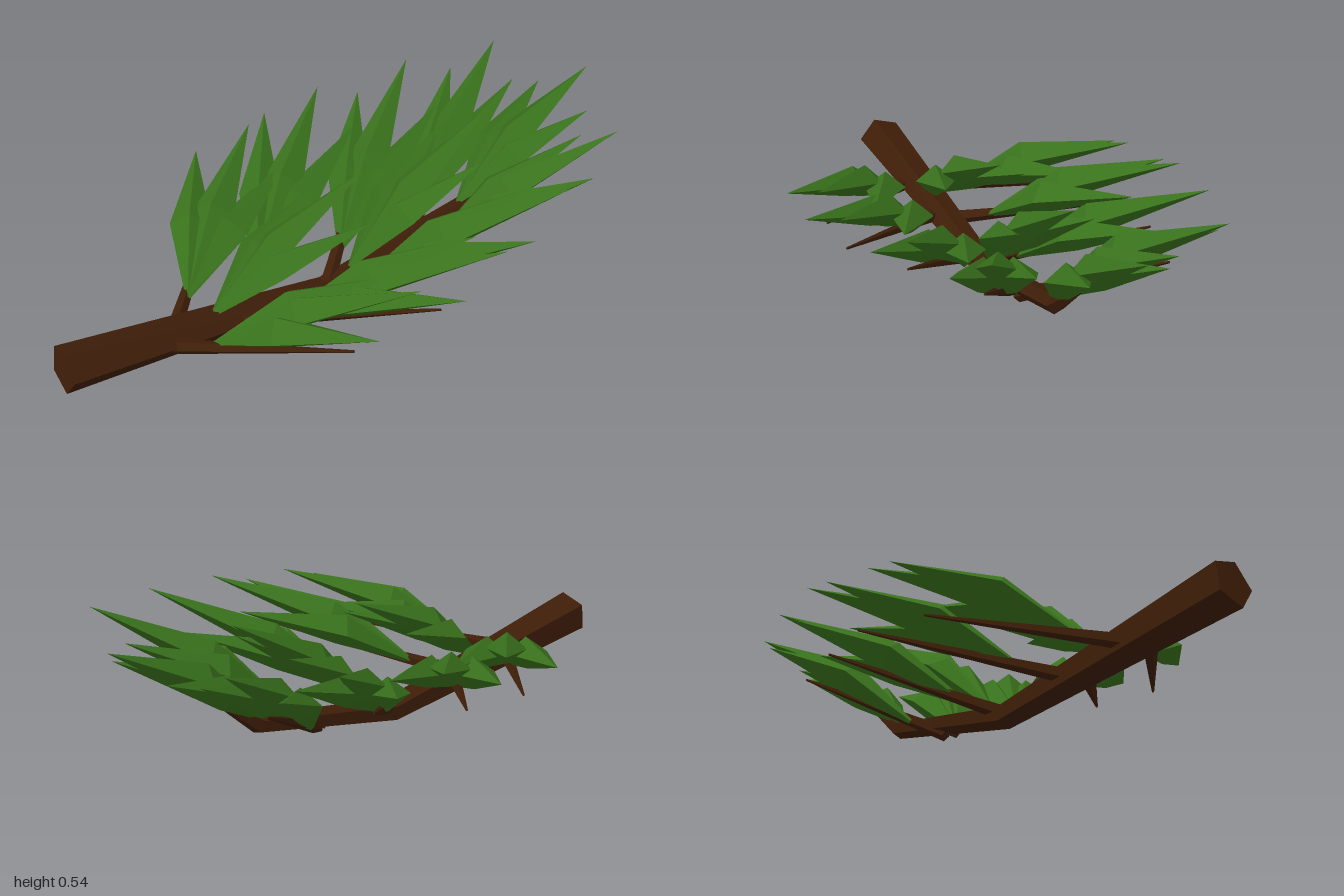
import * as THREE from 'three';

const V = (x, y, z) => new THREE.Vector3(x, y, z);

// Faceted solid through cross-sections [centre, halfWidth, halfHeight]
function loft(sections, sides) {
  const n = sections.length;
  const rings = sections.map(([c, rx, ry], i) => {
    const a = sections[Math.max(i - 1, 0)][0], b = sections[Math.min(i + 1, n - 1)][0];
    const dir = b.clone().sub(a).normalize();
    const side = dir.clone().cross(V(0, 1, 0)).normalize();
    const up = side.clone().cross(dir);
    return Array.from({ length: sides }, (_, j) => {
      const t = (j / sides) * Math.PI * 2;
      return c.clone().addScaledVector(side, Math.cos(t) * rx).addScaledVector(up, Math.sin(t) * ry);
    });
  });
  const pos = [];
  const tri = (a, b, c) => {
    const area = b.clone().sub(a).cross(c.clone().sub(a)).length();
    if (area > 1e-9) pos.push(...a.toArray(), ...b.toArray(), ...c.toArray());
  };
  for (let j = 0; j < sides; j++) {
    const k = (j + 1) % sides;
    for (let i = 0; i < n - 1; i++) {
      tri(rings[i][j], rings[i + 1][j], rings[i][k]);
      tri(rings[i + 1][j], rings[i + 1][k], rings[i][k]);
    }
    tri(sections[0][0], rings[0][j], rings[0][k]);
    tri(sections[n - 1][0], rings[n - 1][k], rings[n - 1][j]);
  }
  const g = new THREE.BufferGeometry();
  g.setAttribute('position', new THREE.Float32BufferAttribute(pos, 3));
  g.computeVertexNormals();
  return g;
}

export function createModel() {
  const bark = new THREE.MeshStandardMaterial({ name: 'bark brown', color: 0x3f1e08 });
  const green = new THREE.MeshStandardMaterial({ name: 'needle green', color: 0x39721c });
  const model = new THREE.Group();
  model.name = 'branch';
  const add = (name, geometry, material) => {
    const m = new THREE.Mesh(geometry, material);
    m.name = name;
    model.add(m);
  };

  // Main stem: five-sided, tapering and bending upwards
  add('stem', loft([
    [V(-0.99, 0.14, 0.003), 0.078, 0.077],
    [V(-0.07, 0.04, -0.01), 0.045, 0.04],
    [V(0.48, 0.165, -0.01), 0.03, 0.03],
    [V(0.67, 0.32, -0.01), 0.006, 0.006],
  ], 5), bark);

  // Spear-shaped leaf: pointed at both ends, arched, with a ridge and a keel
  const leaf = (base, tip) => {
    const mid = base.clone().lerp(tip, 0.42);
    mid.y += 0.04;
    add('leaf', loft([[base, 0.008, 0.008], [mid, 0.068, 0.052], [tip, 0, 0]], 4), green);
  };

  // Side twigs: start, end, leaf base, then a fan of three leaf tips (x, y, outward distance)
  const twigs = [
    { from: [-0.63, 0.09, 0.02], to: [-0.23, 0.19, 0.45], base: [-0.52, 0.12, 0.12],
      tips: [[-0.23, 0.32, 0.58], [-0.05, 0.39, 0.53], [-0.01, 0.32, 0.36]] },
    { from: [-0.38, 0.07, 0.01], to: [0.06, 0.24, 0.48], base: [-0.27, 0.11, 0.12],
      tips: [[0.055, 0.36, 0.608], [0.24, 0.43, 0.555], [0.27, 0.36, 0.37]] },
    { from: [-0.07, 0.055, 0.01], to: [0.35, 0.29, 0.39], base: [0.03, 0.1, 0.09],
      tips: [[0.38, 0.385, 0.515], [0.55, 0.485, 0.465], [0.56, 0.39, 0.29]] },
    { from: [0.23, 0.08, 0], to: [0.65, 0.335, 0.28], base: [0.32, 0.13, 0.08],
      tips: [[0.7, 0.435, 0.405], [0.84, 0.53, 0.345], [0.82, 0.45, 0.205]] },
  ];
  for (const s of [1, -1]) {
    const shift = s > 0 ? -0.03 : 0.01;
    const at = ([x, y, z]) => V(x + shift, y, z * s);
    for (const t of twigs) {
      add('twig', loft([[at(t.from), 0.026, 0.026], [at(t.to), 0.004, 0.004]], 5), bark);
      for (const tip of t.tips) leaf(at(t.base), at(tip));
    }
  }

  // Fans of leaves along the top of the stem
  const fans = [
    { base: [-0.49, 0.12, 0], tips: [[0.08, 0.45, -0.01], [0, 0.36, 0.14], [-0.01, 0.36, -0.14]] },
    { base: [0.02, 0.1, 0], tips: [[0.57, 0.51, -0.02], [0.46, 0.41, 0.11], [0.46, 0.41, -0.14]] },
    { base: [0.46, 0.18, -0.01], tips: [[0.99, 0.54, -0.015], [0.9, 0.455, 0.105], [0.89, 0.455, -0.14]] },
  ];
  for (const f of fans) for (const tip of f.tips) leaf(V(...f.base), V(...tip));

  return model;
}
